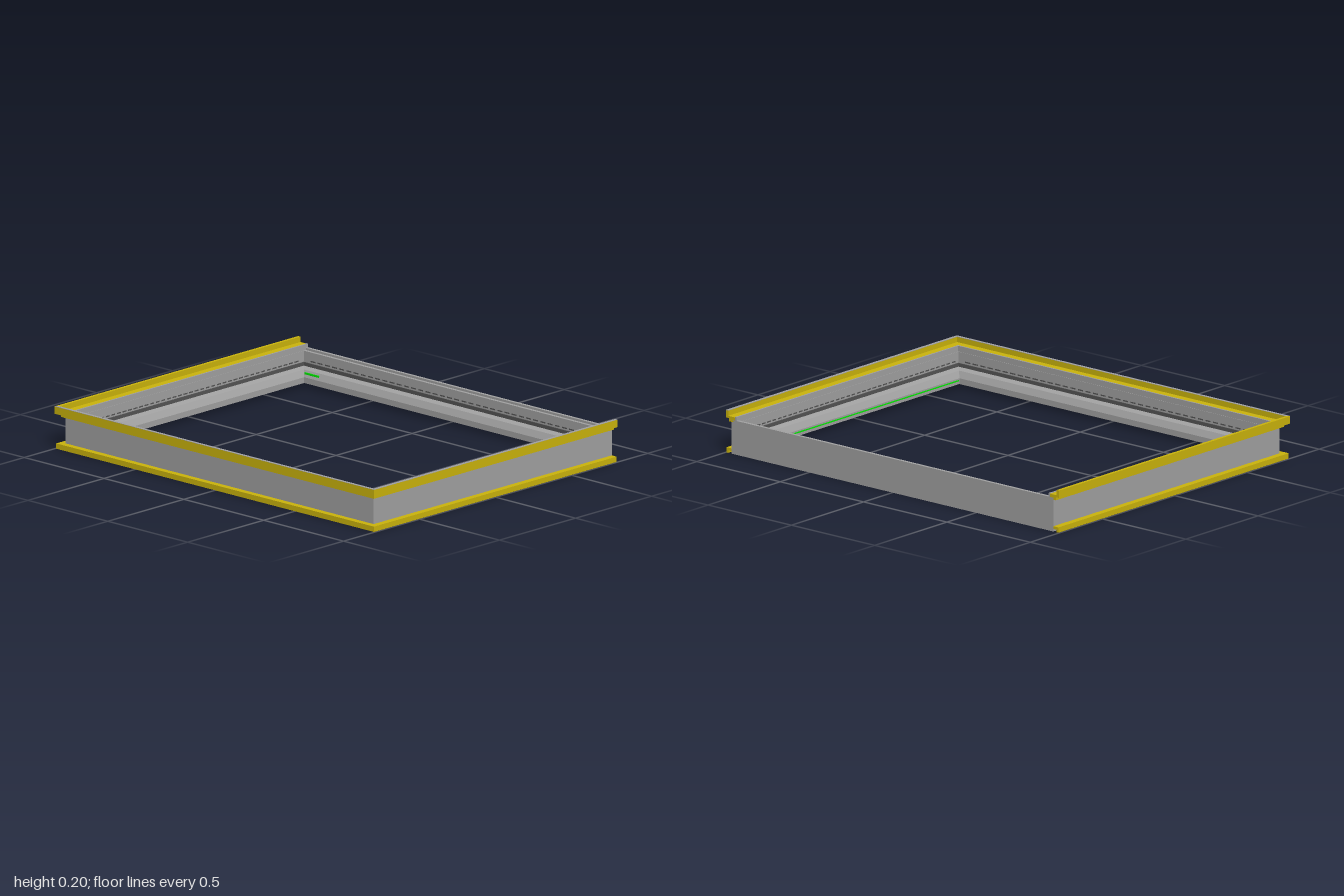
import * as THREE from 'three';

const grey = new THREE.MeshStandardMaterial({ color: 0xa2a2a2, flatShading: true });
const dark = new THREE.MeshStandardMaterial({ color: 0x555555, flatShading: true });
const yellow = new THREE.MeshStandardMaterial({ color: 0xccb50c, flatShading: true });
const green = new THREE.MeshStandardMaterial({ color: 0x00ee00, flatShading: true });

// corners of the frame, as a function of the inward offset d
const frontLeft = (d) => [-1 + d, 0.8 - d];
const frontRight = (d) => [1 - d, 0.8 - d];
const backRight = (d) => [1 - d, -0.835 + d];
const backLeft = (d) => [-1 + d, -0.835 + d];
// square-cut ends of the three-sided trims
const endRight = (d) => [1 - d, -0.8];
const endLeft = (d) => [-1 + d, -0.8];

// sweep a counter-clockwise (inward offset, height) profile along mitred corners
function sweep(profile, corners, closed) {
  const pos = [];
  const point = (i, j) => {
    const [d, y] = profile[j % profile.length];
    const [x, z] = corners[i % corners.length](d);
    return [x, y, z];
  };
  const spans = closed ? corners.length : corners.length - 1;
  for (let i = 0; i < spans; i++) {
    for (let j = 0; j < profile.length; j++) {
      const a = point(i, j), b = point(i, j + 1), c = point(i + 1, j + 1), d = point(i + 1, j);
      pos.push(...a, ...b, ...c, ...a, ...c, ...d);
    }
  }
  if (!closed) {
    const contour = profile.map(([d, y]) => new THREE.Vector2(d, y));
    for (const [a, b, c] of THREE.ShapeUtils.triangulateShape(contour, [])) {
      pos.push(...point(0, a), ...point(0, c), ...point(0, b));
      pos.push(...point(spans, a), ...point(spans, b), ...point(spans, c));
    }
  }
  const g = new THREE.BufferGeometry();
  g.setAttribute('position', new THREE.Float32BufferAttribute(pos, 3));
  g.computeVertexNormals();
  return g;
}

export function createModel() {
  const model = new THREE.Group();
  const add = (name, geometry, material) => {
    const mesh = new THREE.Mesh(geometry, material);
    mesh.name = name;
    model.add(mesh);
    return mesh;
  };
  const box = (name, size, at, material) =>
    add(name, new THREE.BoxGeometry(...size), material).position.set(...at);

  const allSides = [frontLeft, frontRight, backRight, backLeft];
  const threeSides = [endLeft, frontLeft, frontRight, endRight];

  // main frame: outer wall, stepped rim, inner ledge and sloping lip
  add('frameBody', sweep([
    [0.035, 0], [0.07, 0], [0.115, 0.018], [0.115, 0.045], [0.1, 0.075],
    [0.065, 0.082], [0.065, 0.15], [0.05, 0.15], [0.05, 0.16], [0.035, 0.16],
  ], allSides, true), grey);

  // dark seal at the foot of the inner wall
  add('innerSeal', sweep([
    [0.06, 0.08], [0.069, 0.08], [0.069, 0.098], [0.06, 0.098],
  ], allSides, true), dark);

  // three-sided trims, open at the back
  add('topTrim', sweep([
    [0, 0.165], [0.02, 0.165], [0.02, 0.15], [0.055, 0.15],
    [0.055, 0.175], [0.015, 0.175], [0.015, 0.2], [0, 0.2],
  ], threeSides, false), yellow);
  add('bottomTrim', sweep([
    [0.005, 0], [0.015, 0], [0.015, 0.012], [0.035, 0.012], [0.035, 0.025], [0.005, 0.025],
  ], threeSides, false), yellow);

  // grey edge on the inside of the top trim
  add('innerRim', sweep([
    [0.055, 0.148], [0.063, 0.148], [0.063, 0.177], [0.055, 0.177],
  ], threeSides, false), grey);

  // thin cap on the trim's upright edge
  add('trimCap', sweep([
    [0, 0.199], [0.015, 0.199], [0.015, 0.2008], [0, 0.2008],
  ], [frontLeft, frontRight, endRight], false), grey);

  // row of nearly flush slots along the inner walls
  for (let i = 0; i < 40; i++) {
    const x = -0.9 + (i + 0.5) * 0.045;
    const z = -0.74 + (i + 0.5) * 0.0365;
    for (const wallZ of [-0.77, 0.735]) box('wallSlot', [0.03, 0.006, 0.002], [x, 0.108, wallZ], dark);
    for (const s of [-1, 1]) box('sideWallSlot', [0.002, 0.006, 0.024], [s * 0.935, 0.108, z], dark);
  }

  // green clips at the back corners and a thin strip along one side
  for (const s of [-1, 1]) {
    box('cornerClip', [0.09, 0.012, 0.008], [s * 0.845, 0.06, -0.73], green);
  }
  box('sideStrip', [0.003, 0.006, 1.38], [0.885, 0.035, -0.01], green);
  return model;
}
